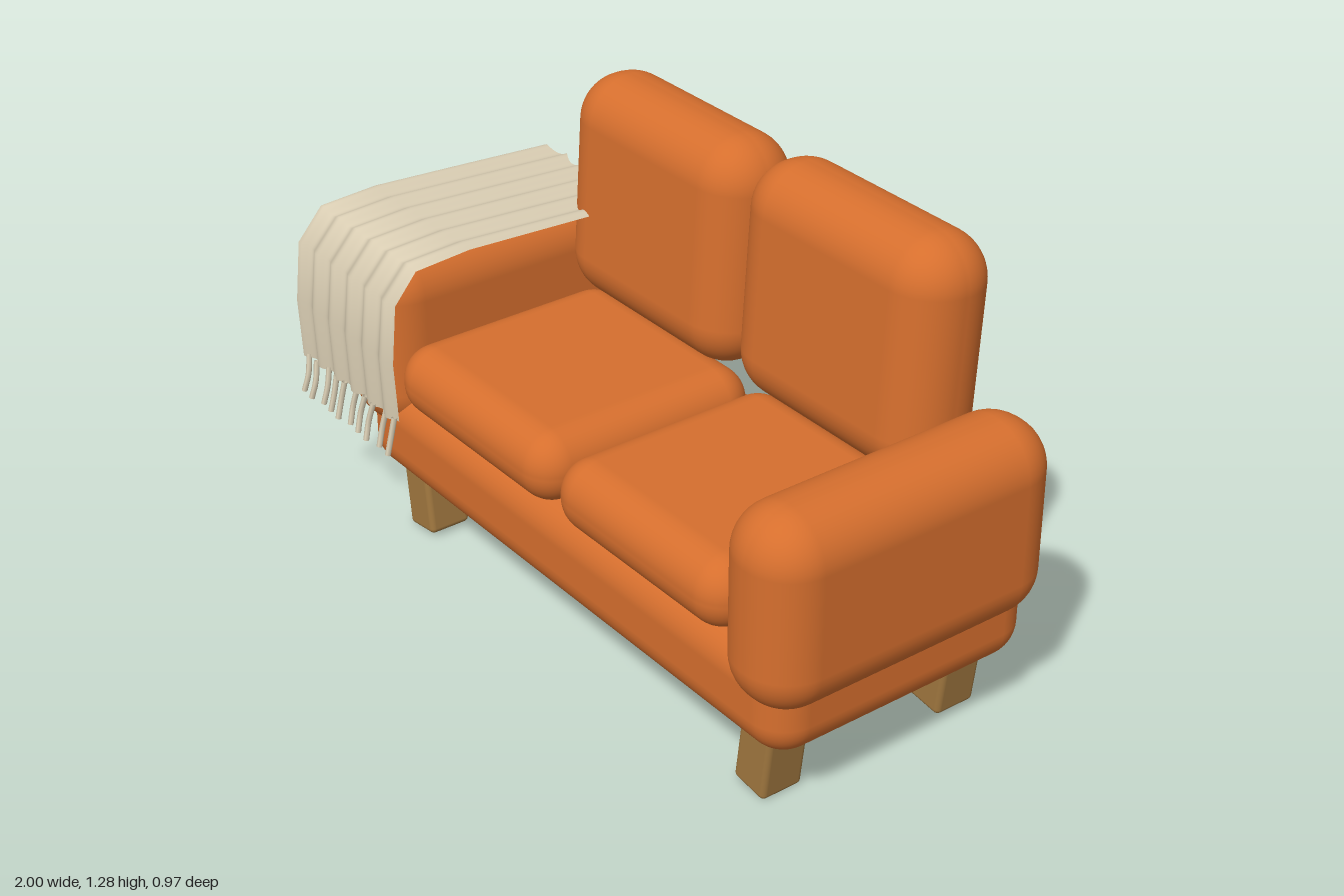
import * as THREE from 'three';
import { RoundedBoxGeometry } from 'three/addons/geometries/RoundedBoxGeometry.js';

const material = (name, color, side = THREE.FrontSide) => {
  const m = new THREE.MeshStandardMaterial({ color, side });
  m.name = name;
  return m;
};

export function createModel() {
  const fabric = material('orange fabric', 0xd66f2e);
  const wood = material('leg wood', 0xa0773f);
  const wool = material('cream wool', 0xd8ccb2, THREE.DoubleSide);
  const sofa = new THREE.Group();
  sofa.name = 'sofa';

  const add = (name, geometry, mat) => {
    const mesh = new THREE.Mesh(geometry, mat);
    mesh.name = name;
    sofa.add(mesh);
    return mesh;
  };
  // Rounded block given by its centre and size
  const block = (name, [x, y, z], [w, h, d], radius, mat = fabric) => {
    const mesh = add(name, new RoundedBoxGeometry(w, h, d, 6, radius), mat);
    mesh.position.set(x, y, z);
    return mesh;
  };

  // Upholstered frame; the sofa's middle sits slightly off centre
  const mid = 0.043;
  block('base', [mid, 0.32, -0.05], [1.81, 0.28, 0.82], 0.1);
  for (const [side, s] of [['right', -1], ['left', 1]]) {
    block(side + 'Arm', [mid + s * 0.822, 0.595, -0.04], [0.27, 0.54, 0.89], 0.13);
    // Legs lean inward toward the floor
    for (const [end, z] of [['Front', 0.237], ['Back', -0.33]]) {
      const leg = block(side + end + 'Leg', [mid + s * 0.742, 0.129, z], [0.115, 0.25, 0.125], 0.015, wood);
      leg.rotation.z = -s * 0.125;
    }
  }

  // Seat and back cushions
  block('rightSeatCushion', [-0.315, 0.53, 0.03], [0.71, 0.2, 0.7], 0.095);
  block('leftSeatCushion', [0.397, 0.53, 0.03], [0.69, 0.2, 0.7], 0.095);
  block('rightBackCushion', [-0.32, 0.944, -0.325], [0.72, 0.64, 0.272], 0.13).rotation.x = -0.06;
  block('leftBackCushion', [0.408, 0.955, -0.325], [0.725, 0.65, 0.272], 0.13).rotation.x = -0.06;

  // Throw blanket: a rippled sheet following a profile of [z, y] points
  const profile = [[-0.37, 0.884], [-0.1, 0.899], [0.2, 0.915], [0.37, 0.904],
    [0.442, 0.82], [0.459, 0.65], [0.45, 0.475]];
  const columns = 60, x0 = -1, width = 0.465;
  const blanket = new THREE.PlaneGeometry(1, 1, columns, profile.length - 1);
  const pos = blanket.attributes.position;
  profile.forEach(([z, y], row) => {
    const a = profile[Math.max(row - 1, 0)];
    const b = profile[Math.min(row + 1, profile.length - 1)];
    const length = Math.hypot(b[0] - a[0], b[1] - a[1]);
    const nz = (a[1] - b[1]) / length, ny = (b[0] - a[0]) / length;
    for (let c = 0; c <= columns; c++) {
      const u = c / columns;
      const ripple = 0.008 * Math.sin(u * Math.PI * 11 + row * 0.25);
      // The back hem is a little uneven
      const hem = row === 0 ? 0.01 * Math.sin(u * Math.PI * 9) : 0;
      pos.setXYZ(row * (columns + 1) + c, x0 + u * width, y + ny * ripple, z + nz * ripple + hem);
    }
  });
  // Rows run back to front, so the outside of the sheet faces up and forward
  blanket.computeVertexNormals();
  add('blanket', blanket, wool);

  // Fringe along the front hem
  for (let i = 0; i < 10; i++) {
    const x = -0.984 + i * 0.0487;
    const bend = 0.01 * Math.cos(i * 0.5);
    const z = 0.45 + 0.006 * Math.sin(i * 2.1);
    const path = new THREE.CatmullRomCurve3([
      new THREE.Vector3(x, 0.485, z),
      new THREE.Vector3(x + bend, 0.43, z + 0.012),
      new THREE.Vector3(x + bend * 0.5, 0.378, z + 0.026),
    ]);
    add('tassel', new THREE.TubeGeometry(path, 6, 0.008, 6), wool);
  }
  return sofa;
}
